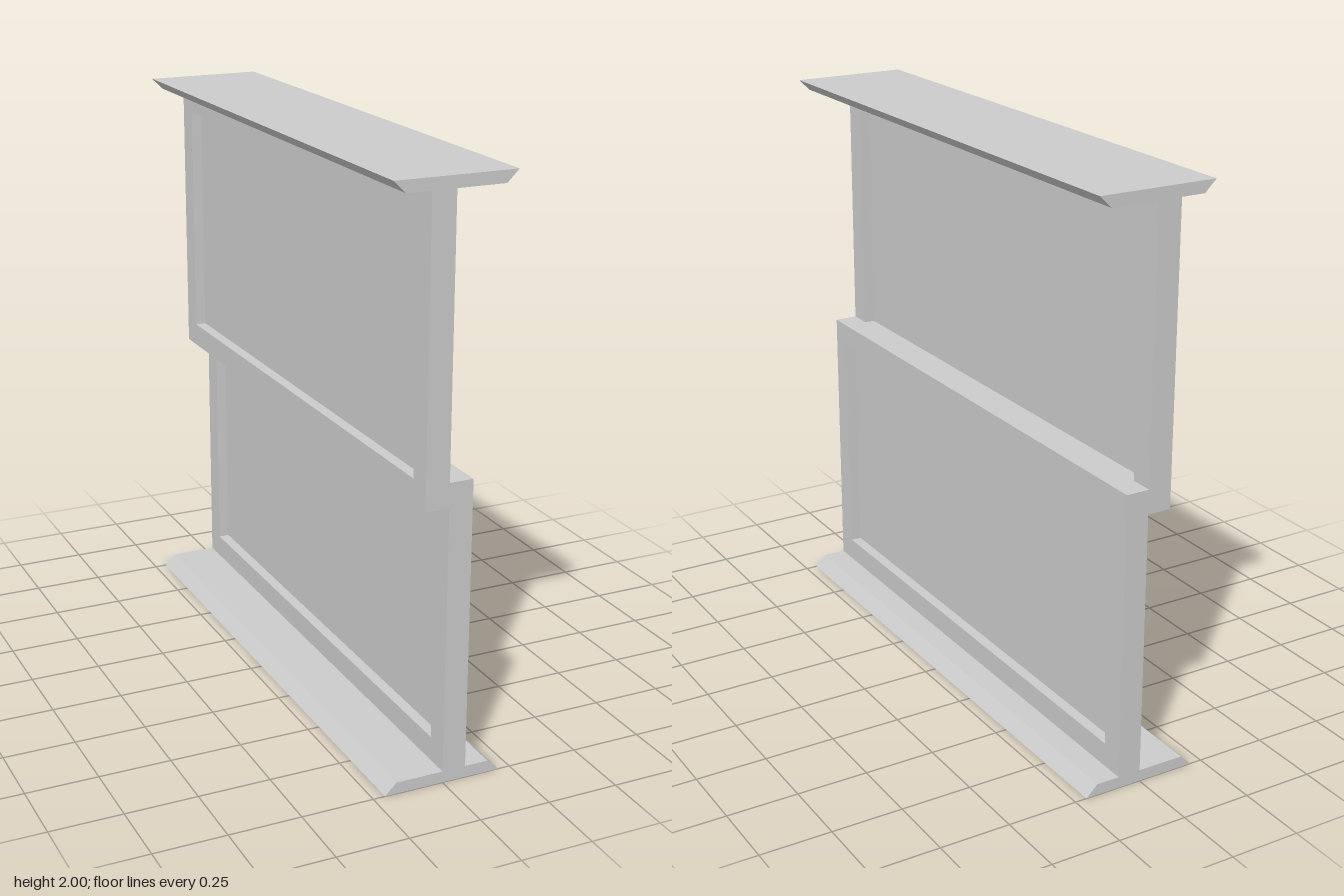
import * as THREE from 'three';

const material = new THREE.MeshStandardMaterial({ color: 0xcccccc, flatShading: true });
const LENGTH = 2;      // along z
const RAIL = 0.083;    // sash frame width and depth
const PLATE = 0.04;    // sill and head thickness

// Closed outline in x/y
function outline(points, Type = THREE.Shape) {
  return new Type(points.map(([x, y]) => new THREE.Vector2(x, y)));
}

function rectangle(w, h) {
  return [[-w / 2, -h / 2], [w / 2, -h / 2], [w / 2, h / 2], [-w / 2, h / 2]];
}

function extrude(shape, depth) {
  const geometry = new THREE.ExtrudeGeometry(shape, { depth, bevelEnabled: false });
  return geometry.translate(0, 0, -depth / 2);
}

// Sliding sash: rectangular frame with a thin recessed pane
function makeSash(name, x, bottom, top) {
  const sash = new THREE.Group();
  sash.name = name;
  const height = top - bottom;
  const openW = LENGTH - 2 * RAIL;
  const openH = height - 2 * RAIL;

  const shape = outline(rectangle(LENGTH, height));
  shape.holes.push(outline(rectangle(openW, openH).reverse(), THREE.Path));
  const frame = new THREE.Mesh(extrude(shape, RAIL).rotateY(Math.PI / 2), material);
  frame.name = name + 'Frame';

  const pane = new THREE.Mesh(new THREE.BoxGeometry(0.006, openH, openW), material);
  pane.name = name + 'Pane';

  sash.add(frame, pane);
  sash.position.set(x, (bottom + top) / 2, 0);
  return sash;
}

// Plate with sloped long edges, wide face outward
function makePlate(name, wideY, narrowY) {
  const points = [[-0.208, wideY], [0.208, wideY], [0.167, narrowY], [-0.167, narrowY]];
  const plate = new THREE.Mesh(extrude(outline(points), LENGTH), material);
  plate.name = name;
  return plate;
}

export function createModel() {
  const model = new THREE.Group();
  model.name = 'slidingWindow';
  model.add(
    makePlate('sill', 0, PLATE),
    makePlate('head', 2, 2 - PLATE),
    makeSash('lowerSash', RAIL / 2, PLATE, 1.042),
    makeSash('upperSash', -RAIL / 2, 0.958, 2 - PLATE),
  );
  return model;
}
